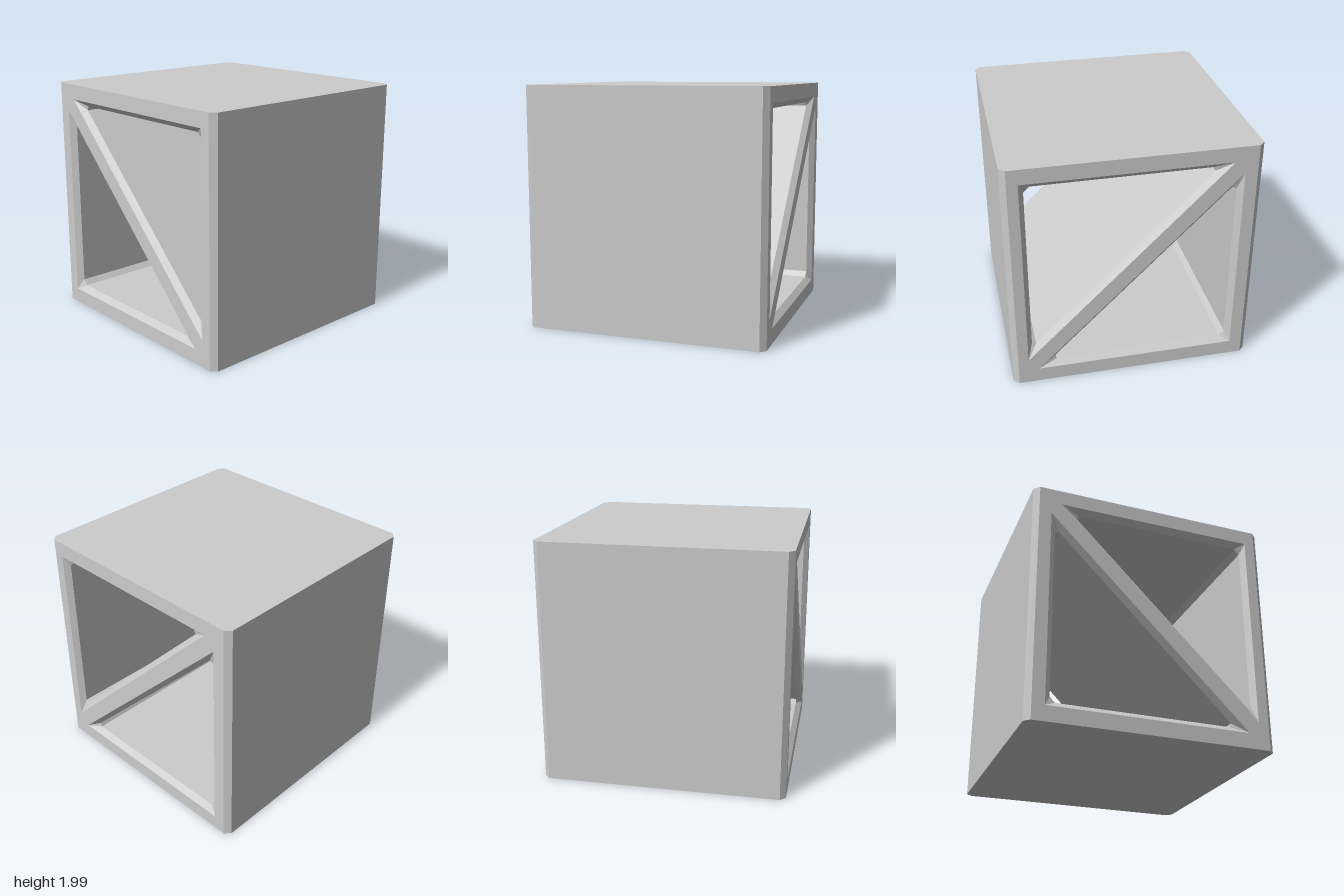
import * as THREE from 'three';

const H = 1.99;       // height
const C = 0.955;      // where the corner and rim chamfers begin
const material = new THREE.MeshStandardMaterial({ color: 0xcccccc, flatShading: true });

// Flat-faced skin between matching rings of [x, y, z] points; open lists the sides left out.
function loft(rings, open = []) {
  const position = [];
  const tri = (a, b, c) => position.push(...a, ...b, ...c);
  const same = (a, b) => a.every((v, i) => v === b[i]);
  for (let r = 0; r < rings.length - 1; r++) {
    const lower = rings[r], upper = rings[r + 1], n = lower.length;
    for (let i = 0; i < n; i++) {
      if (open.includes(i)) continue;
      const j = (i + 1) % n;
      if (!same(lower[i], lower[j])) tri(lower[i], lower[j], upper[j]);
      if (!same(upper[i], upper[j])) tri(lower[i], upper[j], upper[i]);
    }
  }
  const geometry = new THREE.BufferGeometry();
  geometry.setAttribute('position', new THREE.Float32BufferAttribute(position, 3));
  geometry.computeVertexNormals();
  return geometry;
}

const shapeFrom = (points) => new THREE.Shape(points.map(([x, y]) => new THREE.Vector2(x, y)));

// Each tunnel: sharp triangular rim, and a smaller section with clipped corners.
// Both run counter-clockwise, with two section points per rim corner.
const tunnels = [
  {
    name: 'upperTunnel',
    rim: [[0.87, 1.865], [-0.77, 1.865], [0.87, 0.225]],
    section: [[0.83, 1.775], [0.785, 1.82], [-0.615, 1.82], [-0.63, 1.787], [0.797, 0.36], [0.83, 0.375]],
  },
  {
    name: 'lowerTunnel',
    rim: [[-0.855, 0.125], [0.785, 0.125], [-0.855, 1.765]],
    section: [[-0.81, 0.215], [-0.77, 0.17], [0.636, 0.17], [0.65, 0.203], [-0.775, 1.628], [-0.81, 1.61]],
  },
];

export function createModel() {
  const group = new THREE.Group();
  const add = (name, geometry) => {
    const mesh = new THREE.Mesh(geometry, material);
    mesh.name = name;
    group.add(mesh);
    return mesh;
  };

  // Side walls and chamfered upright corners; sides 2 and 6 are the framed openings
  const plan = [[1, C], [1, -C], [C, -1], [-C, -1], [-1, -C], [-1, C], [-C, 1], [C, 1]];
  add('sideWalls', loft([0, H].map((y) => plan.map(([x, z]) => [x, y, z])), [2, 6]));

  // Roof and floor
  const slab = shapeFrom(plan);
  add('roof', new THREE.ShapeGeometry(slab).rotateX(-Math.PI / 2).translate(0, H, 0));
  add('floor', new THREE.ShapeGeometry(slab).rotateX(Math.PI / 2));

  // Front and back frames, each with a diagonal brace between two triangular holes
  for (const side of [1, -1]) {
    const flip = ([x, y]) => [x * side, y];
    const frame = shapeFrom([[-C, 0], [C, 0], [C, H], [-C, H]]);
    frame.holes = tunnels.map((t) => shapeFrom(t.rim.map(flip)));
    const geometry = new THREE.ShapeGeometry(frame).translate(0, 0, 1);
    if (side < 0) geometry.rotateY(Math.PI);
    add(side > 0 ? 'frontFrame' : 'backFrame', geometry);
  }

  // Inner walls from front rim to back rim, bevelled at both ends
  for (const { name, rim, section } of tunnels) {
    const rimPairs = rim.flatMap((p) => [p, p]);
    const at = (points, z) => points.map(([x, y]) => [x, y, z]);
    add(name, loft([at(rimPairs, 1), at(section, C), at(section, -C), at(rimPairs, -1)]));
  }
  return group;
}
